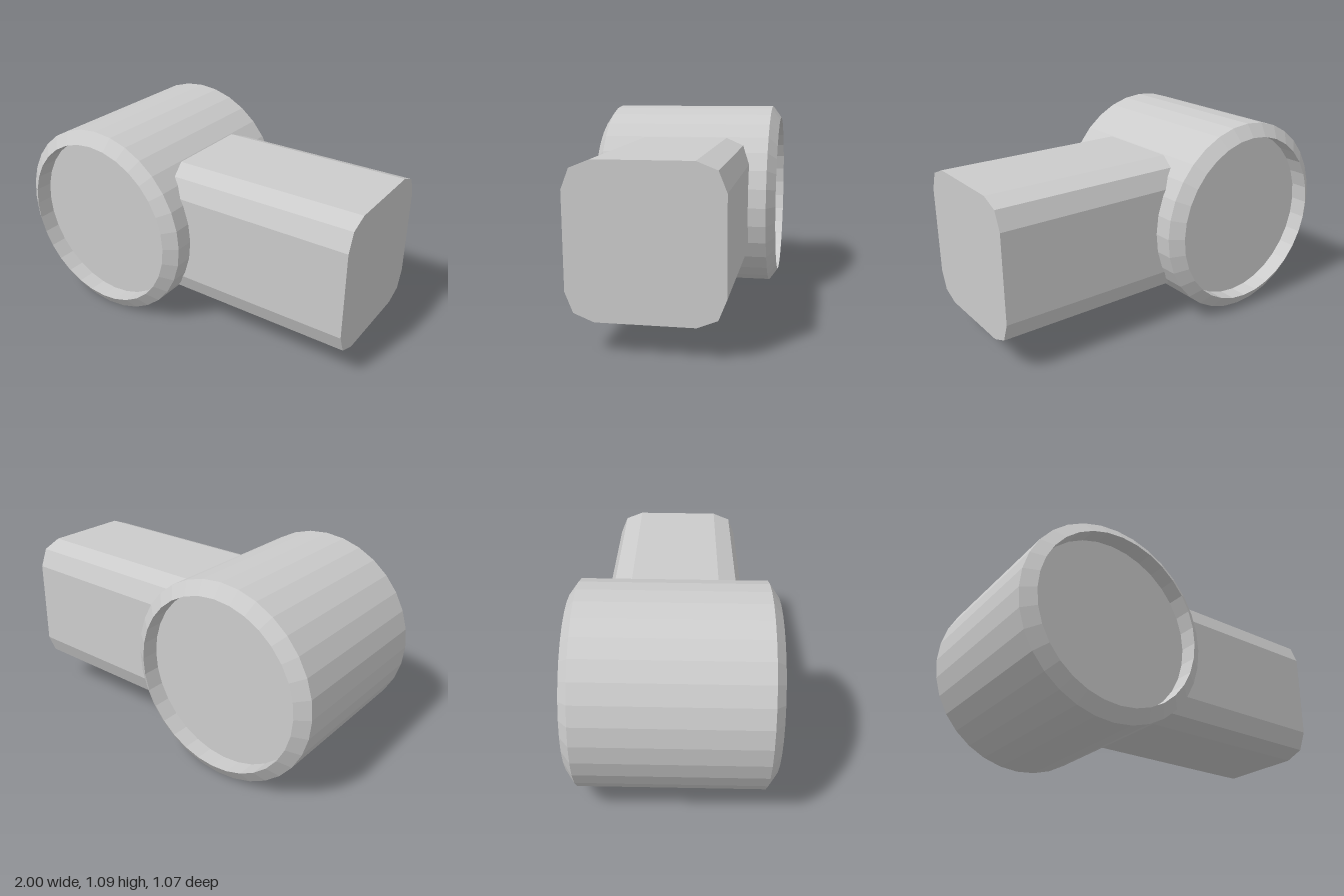
import * as THREE from 'three';

export function createModel() {
  const model = new THREE.Group();
  model.name = 'crossDrumJoint';
  const material = new THREE.MeshStandardMaterial({ color: 0xcccccc, flatShading: true });

  // Both parts share a centre height and a very slight tilt about x
  const joint = new THREE.Group();
  joint.name = 'joint';
  joint.position.y = 0.549;
  joint.rotation.x = 0.007;
  model.add(joint);

  // Drum lying along z: chamfered rims with a recessed disc at each end
  const R = 0.543, rim = 0.473, end = 0.53, shoulder = 0.48, recess = 0.43;
  const half = [[0, recess], [rim, recess], [rim, end], [R, shoulder]];
  const profile = [
    ...half.map(([r, h]) => new THREE.Vector2(r, -h)),
    ...half.slice().reverse().map(([r, h]) => new THREE.Vector2(r, h)),
  ];
  const drum = new THREE.Mesh(new THREE.LatheGeometry(profile, 32).rotateX(Math.PI / 2), material);
  drum.name = 'drum';
  drum.position.x = -0.457;
  joint.add(drum);

  // Square bar with two-step rounded corners, running out along +x from the drum
  const a = 0.38, b = 0.34, c = 0.24;
  const corner = [[a, c], [b, b], [c, a]];
  const flip = corner.slice().reverse();
  const section = [
    ...corner,
    ...flip.map(([x, y]) => [-x, y]),
    ...corner.map(([x, y]) => [-x, -y]),
    ...flip.map(([x, y]) => [x, -y]),
  ].map(([x, y]) => new THREE.Vector2(x, y));
  const start = -0.12;
  const barGeometry = new THREE.ExtrudeGeometry(new THREE.Shape(section), {
    depth: 1 - start, bevelEnabled: false,
  }).rotateY(Math.PI / 2);
  const bar = new THREE.Mesh(barGeometry, material);
  bar.name = 'bar';
  bar.position.x = start;
  joint.add(bar);

  return model;
}
